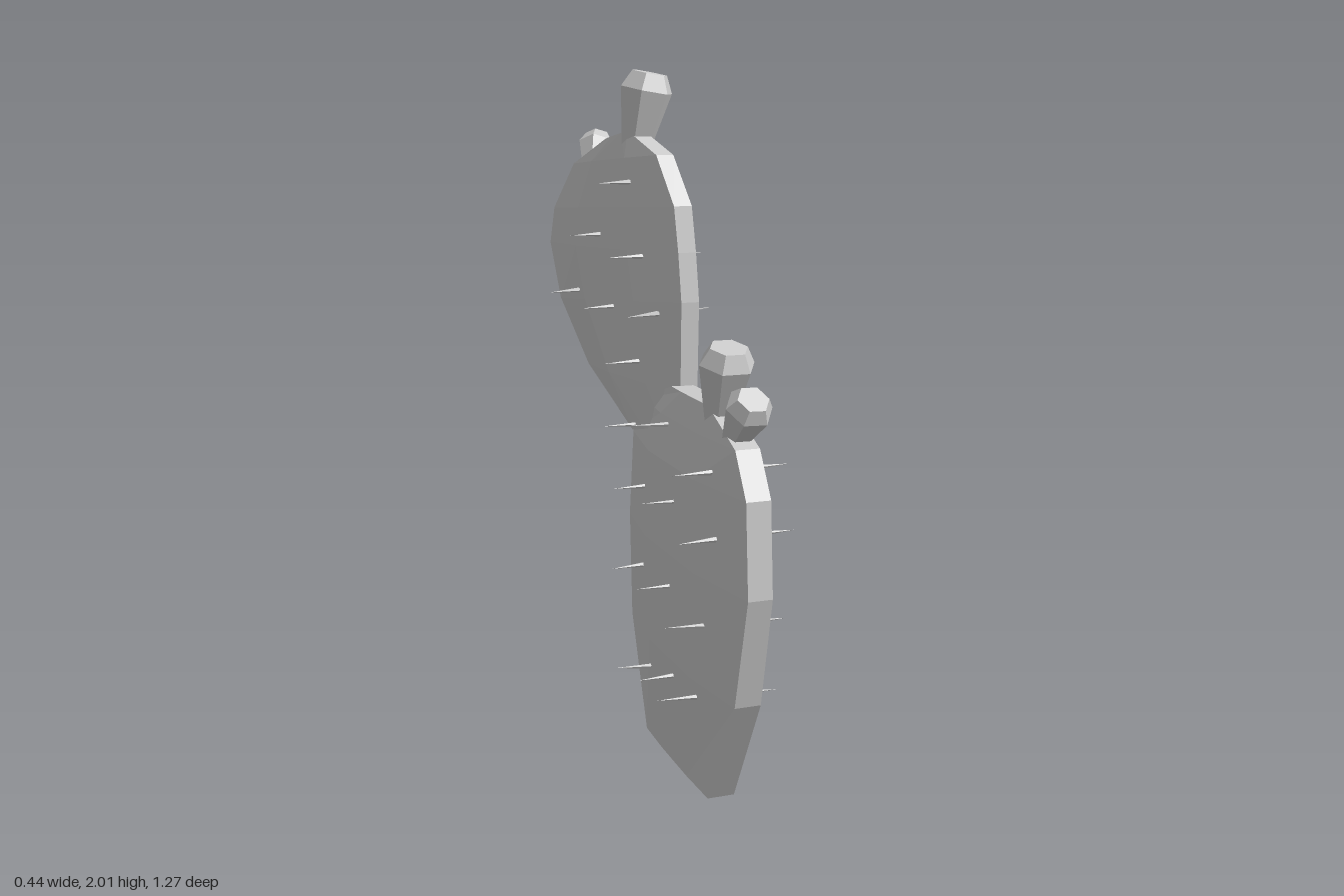
import * as THREE from 'three';

const material = new THREE.MeshStandardMaterial({ color: 0xcccccc, flatShading: true });
const UP = new THREE.Vector3(0, 1, 0);

// Flat pad made of 8-sided cross-sections stacked upwards.
// Each row: front edge z, y, back edge z, y, half thickness of the face, half thickness of the rim.
function pad(name, rows, centreX) {
  const columns = [0, 0.3, 0.7, 1];
  const position = [], index = [];
  for (const [z0, y0, z1, y1, face, rim] of rows) {
    for (const side of [1, -1]) {
      const order = side > 0 ? columns : [...columns].reverse();
      for (const t of order) {
        const z = z0 + (z1 - z0) * t;
        const half = t === 0 || t === 1 ? rim : face;
        position.push(centreX(z) + side * half, y0 + (y1 - y0) * t, z);
      }
    }
  }
  for (let r = 0; r < rows.length - 1; r++) {
    for (let i = 0; i < 8; i++) {
      const a = r * 8 + i, b = r * 8 + (i + 1) % 8;
      index.push(a, b, b + 8, a, b + 8, a + 8);
    }
  }
  // End caps
  const top = (rows.length - 1) * 8;
  for (let i = 1; i < 7; i++) {
    index.push(0, i + 1, i);
    index.push(top, top + i, top + i + 1);
  }
  const geometry = new THREE.BufferGeometry();
  geometry.setAttribute('position', new THREE.Float32BufferAttribute(position, 3));
  geometry.setIndex(index);
  geometry.computeVertexNormals();
  const mesh = new THREE.Mesh(geometry, material);
  mesh.name = name;
  return mesh;
}

// Six-sided fruit running from its base point to its tip point
function fruit(name, base, tip, radius) {
  const from = new THREE.Vector3(...base);
  const axis = new THREE.Vector3(...tip).sub(from);
  const h = axis.length();
  const profile = [[0, 0], [0.55, 0], [1, 0.78], [0.68, 1], [0, 1]]
    .map(([r, y]) => new THREE.Vector2(r * radius, y * h));
  const mesh = new THREE.Mesh(new THREE.LatheGeometry(profile, 6, Math.PI / 6), material);
  mesh.position.copy(from);
  mesh.quaternion.setFromUnitVectors(UP, axis.normalize());
  mesh.name = name;
  return mesh;
}

// Thin spines on both faces of a pad, set at [z, y] points
function spines(name, points, centreX, reach) {
  const group = new THREE.Group();
  group.name = name;
  const length = 0.13;
  const geometry = new THREE.ConeGeometry(0.009, length, 5);
  geometry.translate(0, length / 2, 0);
  const slope = centreX(1) - centreX(0);
  points.forEach(([z, y], i) => {
    for (const side of [1, -1]) {
      const tilt = (((i * 2 + (side > 0 ? 0 : 3)) % 5) - 2) * 0.07;
      const direction = new THREE.Vector3(side, 0, -side * slope + tilt).normalize();
      const spine = new THREE.Mesh(geometry, material);
      spine.position.set(centreX(z), y, z).addScaledVector(direction, reach - length);
      spine.quaternion.setFromUnitVectors(UP, direction);
      spine.name = 'spine';
      group.add(spine);
    }
  });
  return group;
}

export function createModel() {
  const model = new THREE.Group();
  model.name = 'cactus';

  // Both pads are turned slightly about the vertical
  const lowerX = z => 0.035 - 0.03 * z;
  const upperX = z => 0.044 + 0.27 * z;

  model.add(pad('lowerPad', [
    [0.365, 0, -0.18, 0, 0.045, 0.04],
    [0.56, 0.34, -0.33, 0.33, 0.07, 0.038],
    [0.64, 0.66, -0.36, 0.65, 0.08, 0.035],
    [0.62, 0.92, -0.32, 0.92, 0.08, 0.035],
    [0.54, 1.04, -0.22, 1.04, 0.058, 0.035],
    [0.33, 1.12, 0.03, 1.12, 0.035, 0.033],
  ], lowerX));

  model.add(pad('upperPad', [
    [0.02, 1.0, -0.2, 0.95, 0.03, 0.025],
    [0.035, 1.1, -0.43, 1.12, 0.045, 0.026],
    [0.04, 1.36, -0.58, 1.31, 0.057, 0.027],
    [0.025, 1.5, -0.635, 1.48, 0.06, 0.027],
    [0.005, 1.63, -0.61, 1.59, 0.058, 0.027],
    [-0.08, 1.77, -0.5, 1.73, 0.045, 0.026],
    [-0.22, 1.835, -0.33, 1.81, 0.027, 0.025],
  ], upperX));

  // Fruits on the rims
  model.add(
    fruit('upperLargeFruit', [-0.01, 1.78, -0.235], [0.025, 2.0, -0.21], 0.08),
    fruit('upperSmallFruit', [-0.07, 1.69, -0.455], [-0.025, 1.81, -0.545], 0.056),
    fruit('lowerLargeFruit', [0.025, 1.08, 0.335], [0.025, 1.285, 0.395], 0.08),
    fruit('lowerSmallFruit', [0.02, 1.05, 0.45], [0.025, 1.175, 0.56], 0.066),
  );

  model.add(spines('lowerSpines', [
    [0.43, 0.96], [0.09, 1.02], [-0.18, 0.97],
    [0.46, 0.785], [0.19, 0.82], [-0.1, 0.8],
    [0.4, 0.52], [0.14, 0.56], [-0.13, 0.55],
    [0.33, 0.29], [0.14, 0.29], [-0.06, 0.245],
  ], lowerX, 0.175));

  model.add(spines('upperSpines', [
    [-0.19, 1.69], [-0.12, 1.48], [-0.325, 1.53],
    [-0.065, 1.32], [-0.26, 1.32], [-0.45, 1.35], [-0.14, 1.17],
  ], upperX, 0.16));

  return model;
}
